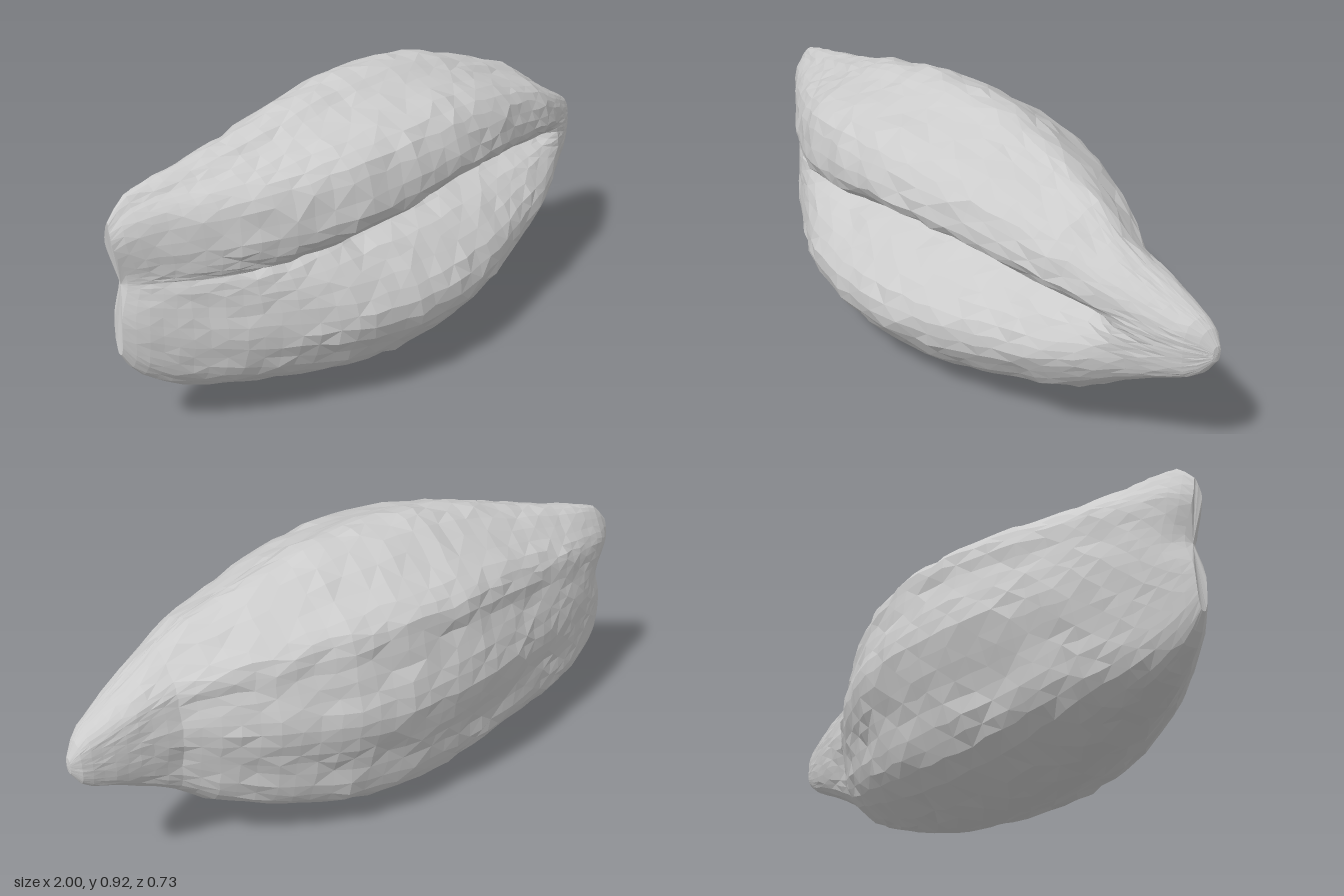
import * as THREE from 'three';

// Outline along the length: [x, top y, bottom y, front z, back z]
const STATIONS = [
  [-0.99, 0.69, 0.29, -0.01, -0.05],
  [-0.97, 0.72, 0.25, 0.01, -0.07],
  [-0.93, 0.755, 0.205, 0.04, -0.095],
  [-0.85, 0.775, 0.15, 0.09, -0.13],
  [-0.72, 0.8, 0.11, 0.176, -0.185],
  [-0.55, 0.84, 0.07, 0.265, -0.24],
  [-0.4, 0.885, 0.035, 0.33, -0.29],
  [-0.2, 0.915, 0.005, 0.36, -0.345],
  [0, 0.92, 0.005, 0.355, -0.365],
  [0.2, 0.895, 0.03, 0.315, -0.345],
  [0.4, 0.835, 0.09, 0.25, -0.28],
  [0.58, 0.77, 0.16, 0.195, -0.19],
  [0.67, 0.71, 0.22, 0.155, -0.135],
  [0.77, 0.645, 0.295, 0.105, -0.12],
  [0.86, 0.6, 0.34, 0.06, -0.115],
  [0.94, 0.56, 0.375, 0.01, -0.105],
  [0.98, 0.525, 0.405, -0.03, -0.095],
  [0.997, 0.49, 0.44, -0.05, -0.08],
];

// Front furrow along x: [x, depth, tightness of the upper lip]
const FURROW = [
  [-1, 0.15, 1.6], [-0.65, 0.3, 1.8], [-0.52, 0.6, 1.8], [-0.3, 0.95, 1.6], [0, 1, 1],
  [0.25, 1, 1], [0.6, 1, 1.3], [0.74, 0.8, 1.3], [0.82, 0.05, 1], [1, 0, 1],
];

// Widest cross-section as [z, y], from the furrow over the top and round the back
const SECTION = [
  [0.12, 0.505], [0.195, 0.55], [0.29, 0.605], [0.35, 0.66], [0.34, 0.73], [0.3, 0.8], [0.22, 0.845],
  [0.12, 0.875], [0.06, 0.905], [-0.01, 0.92], [-0.08, 0.9], [-0.18, 0.835], [-0.28, 0.77], [-0.315, 0.72],
  [-0.32, 0.64], [-0.345, 0.55], [-0.36, 0.46], [-0.335, 0.36], [-0.305, 0.27], [-0.285, 0.17], [-0.24, 0.1],
  [-0.1, 0.025], [-0.02, 0.005], [0.06, 0.015], [0.13, 0.045], [0.24, 0.09], [0.31, 0.16], [0.36, 0.24],
  [0.355, 0.32], [0.29, 0.4], [0.225, 0.455],
];

const RING = 58;
const ROWS = 44;

function sample(table, x, column) {
  let i = 0;
  while (i < table.length - 2 && x > table[i + 1][0]) i++;
  const a = table[i], b = table[i + 1];
  const t = THREE.MathUtils.clamp((x - a[0]) / (b[0] - a[0]), 0, 1);
  return THREE.MathUtils.lerp(a[column], b[column], t);
}

function seeded(seed) {
  return () => {
    seed = (seed * 16807) % 2147483647;
    return seed / 2147483647 - 0.5;
  };
}

function seedGeometry() {
  const random = seeded(731);
  const { lerp, smoothstep } = THREE.MathUtils;
  const curve = new THREE.CatmullRomCurve3(
    SECTION.map(([z, y]) => new THREE.Vector3(z / 0.36, (y - 0.5) / (y > 0.5 ? 0.42 : 0.495), 0)), true);
  const profile = Array.from({ length: RING }, (_, j) => curve.getPoint(j / RING));
  const positions = [], indices = [];
  const first = STATIONS[0][0], last = STATIONS[STATIONS.length - 1][0];

  for (let i = 0; i < ROWS; i++) {
    // rows are closer together towards both ends
    const t = i / (ROWS - 1);
    const s = lerp(t, 0.5 - 0.5 * Math.cos(Math.PI * t), 0.45);
    const x = lerp(first, last, s);
    const [top, bottom, front, back] = [1, 2, 3, 4].map((k) => sample(STATIONS, x, k));
    const [depth, tightness] = [1, 2].map((k) => sample(FURROW, x, k));
    const crease = lerp(0.5, 0.465, smoothstep(x, 0.75, 1));
    const endNotch = 1 - smoothstep(x, -1, -0.8);
    const blunt = 1 - smoothstep(x, -0.85, -0.2);
    const tip = 0.9 * smoothstep(x, 0.66, 0.8);
    const rough = 0.01 * Math.min(1, (front - back) / 0.5);

    for (const p of profile) {
      let v = p.y;
      let u = p.x;
      if (u > 0 && Math.abs(v) < 0.6) {
        u = lerp(Math.max(u, 0.97 - 0.1 * v * v), u, depth);
        if (v > 0) v = 0.6 * (v / 0.6) ** tightness;
      }
      // fuller corners towards the blunt end, most of all below
      u = Math.sign(u) * Math.abs(u) ** lerp(1, v < 0 ? 0.55 : 0.85, blunt);
      // the narrow tip turns into a rounded box section
      const round = lerp(1, (Math.abs(u) ** 3 + Math.abs(v) ** 3) ** (-1 / 3), tip);
      u *= round;
      v *= round;
      const y = crease + v * (v > 0 ? top - crease : crease - bottom);
      const z = (front + back) / 2 + u * (front - back) / 2;
      // the blunt end is dented between its two lobes
      const dent = endNotch * (0.03 * Math.exp(-(((y - 0.51) / 0.07) ** 2)) - 0.01 * Math.exp(-(((y - 0.64) / 0.06) ** 2)));
      positions.push(x + dent + random() * rough, Math.max(0, y + random() * rough), z + random() * rough);
    }
  }

  // skin between neighbouring rows
  for (let i = 0; i < ROWS - 1; i++) {
    for (let j = 0; j < RING; j++) {
      const k = (j + 1) % RING;
      const a = i * RING + j, b = i * RING + k, c = a + RING, d = b + RING;
      if ((i + j) % 2) indices.push(a, c, b, b, c, d);
      else indices.push(a, c, d, a, d, b);
    }
  }

  // close both ends
  const start = positions.length / 3;
  positions.push(first + 0.02, 0.5, -0.03, 1, 0.465, -0.065);
  const lastRow = (ROWS - 1) * RING;
  for (let j = 0; j < RING; j++) {
    const k = (j + 1) % RING;
    indices.push(start, j, k, start + 1, lastRow + k, lastRow + j);
  }

  const geometry = new THREE.BufferGeometry();
  geometry.setAttribute('position', new THREE.Float32BufferAttribute(positions, 3));
  geometry.setIndex(indices);
  geometry.computeVertexNormals();
  return geometry;
}

export function createModel() {
  const model = new THREE.Group();
  model.name = 'seed';
  const material = new THREE.MeshStandardMaterial({ color: 0xcccccc, flatShading: true });
  const body = new THREE.Mesh(seedGeometry(), material);
  body.name = 'furrowedSeedBody';
  model.add(body);
  return model;
}
